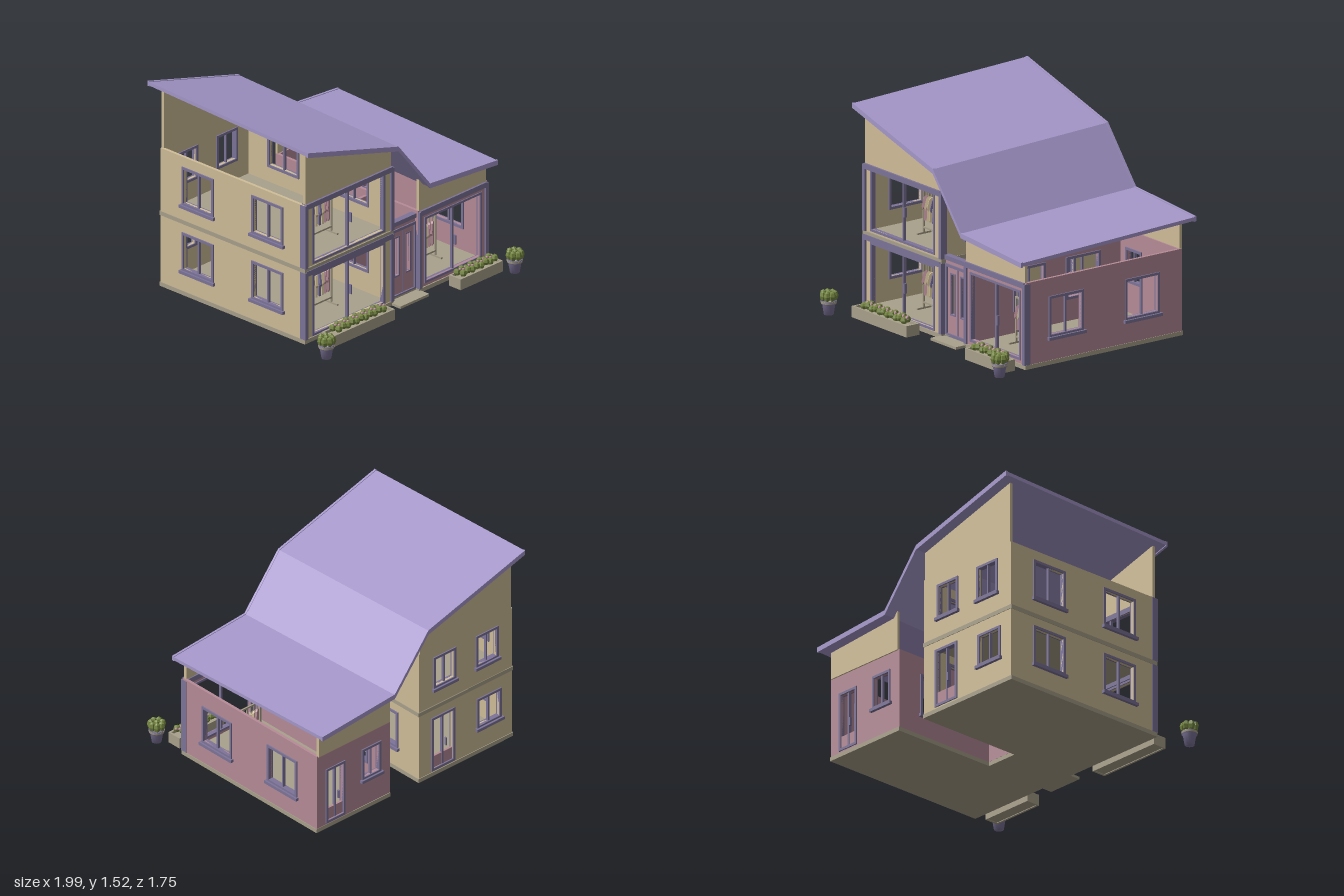
import * as THREE from 'three';

const colour = (name, hex) => {
  const m = new THREE.MeshStandardMaterial({ color: hex });
  m.name = name;
  return m;
};

export function createModel() {
  const house = new THREE.Group();
  house.name = 'house';
  const roofMat = colour('lilac roof', 0xa698cb);
  const trim = colour('purple trim', 0x7d7499);
  const tan = colour('tan wall', 0xd0be98);
  const pink = colour('rose wall', 0xb68b97);
  const stone = colour('stone', 0xa9a18b);
  const green = colour('leaf green', 0x748540);
  green.flatShading = true;

  const mesh = (parent, name, geo, mat, x = 0, y = 0, z = 0) => {
    const m = new THREE.Mesh(geo, mat);
    m.name = name;
    m.position.set(x, y, z);
    parent.add(m);
    return m;
  };
  // box given by its limits
  const box = (parent, name, mat, x0, x1, y0, y1, z0, z1) =>
    mesh(parent, name, new THREE.BoxGeometry(x1 - x0, y1 - y0, z1 - z0), mat,
      (x0 + x1) / 2, (y0 + y1) / 2, (z0 + z1) / 2);
  const rect = (x0, x1, y0, y1) =>
    [[x0, y0], [x1, y0], [x1, y1], [x0, y1]].map(p => new THREE.Vector2(...p));
  // flat plate with holes, centred on its local z
  const plate = (parent, name, mat, points, holes, depth) => {
    const s = new THREE.Shape(points);
    for (const h of holes) s.holes.push(new THREE.Path(rect(...h)));
    const g = new THREE.ExtrudeGeometry(s, { depth, bevelEnabled: false });
    g.translate(0, 0, -depth / 2);
    return mesh(parent, name, g, mat);
  };
  const frame = (parent, name, mat, [x0, x1, y0, y1], w, d) =>
    plate(parent, name, mat, rect(x0 - w, x1 + w, y0 - w, y1 + w), [[x0, x1, y0, y1]], d);
  // plane to build a wall in: side planes run along -z
  const plane = (name, at, side) => {
    const g = new THREE.Group();
    g.name = name;
    if (side) { g.rotation.y = Math.PI / 2; g.position.x = at; } else g.position.z = at;
    house.add(g);
    return g;
  };
  const addWindow = (wall, h, out) => {
    const [x0, x1, y0, y1] = h, c = (x0 + x1) / 2;
    frame(wall, 'windowFrame', trim, h, 0.018, 0.04);
    box(wall, 'windowBar', trim, c - 0.006, c + 0.006, y0, y1, -0.01, 0.01);
    box(wall, 'windowSill', trim, x0 - 0.03, x1 + 0.03, y0 - 0.036, y0 - 0.014,
      Math.min(0, out * 0.034), Math.max(0, out * 0.034));
  };
  const addDoor = (wall, h, out) => {
    const [x0, x1, y0, y1] = h, c = (x0 + x1) / 2;
    frame(wall, 'doorFrame', trim, h, 0.018, 0.04);
    box(wall, 'doorPanel', pink, x0, x1, y0, y0 + 0.09, -0.008, 0.008);
    box(wall, 'doorBar', trim, c - 0.007, c + 0.007, y0, y1, -0.01, 0.01);
    box(wall, 'doorHandle', trim, c - 0.03, c - 0.02, 0.2, 0.26, out * 0.015 - 0.008, out * 0.015 + 0.008);
  };
  const wall = (name, mat, at, side, out, outline, windows, doors = []) => {
    const g = plane(name, at, side);
    plate(g, name + 'Panel', mat, rect(...outline), [...windows, ...doors], 0.022);
    windows.forEach(h => addWindow(g, h, out));
    doors.forEach(h => addDoor(g, h, out));
    return g;
  };

  // roof: folded profile, rising gently toward the back
  const under = [[-0.92, 1.432], [-0.03, 1.178], [0.28, 0.797], [0.945, 0.745]];
  const rise = z => 0.055 * (0.62 - z) / 1.49;
  const roofSlab = (name, mat, z0, z1, lo, hi) => {
    const pts = [...under.map(([x, y]) => new THREE.Vector2(x, y + lo)),
      ...under.map(([x, y]) => new THREE.Vector2(x, y + hi)).reverse()];
    const g = new THREE.ExtrudeGeometry(new THREE.Shape(pts), { depth: z1 - z0, bevelEnabled: false });
    g.translate(0, 0, z0);
    const p = g.attributes.position;
    for (let i = 0; i < p.count; i++) p.setY(i, p.getY(i) + rise(p.getZ(i)));
    g.computeVertexNormals();
    mesh(house, name, g, mat);
  };
  roofSlab('roof', roofMat, -0.86, 0.605, 0, 0.026);
  roofSlab('frontRoofTrim', roofMat, 0.605, 0.622, -0.006, 0.03);
  roofSlab('backRoofTrim', roofMat, -0.877, -0.86, -0.006, 0.03);

  // gables under the roof, front and back
  for (const [z, side] of [[0.54, 'front'], [-0.78, 'back']]) {
    const up = rise(z) + 0.004;
    const gable = (name, pts) => plate(plane(side + name, z), side + name + 'Panel', tan,
      pts.map(([x, y, top]) => new THREE.Vector2(x, y + (top ? up : 0))), [], 0.022);
    gable('MainGable', [[-0.87, 1.03], [-0.03, 1.03], [-0.03, 1.178, 1], [-0.87, 1.418, 1]]);
    gable('WingGable', [[0.245, 0.605], [0.9, 0.605], [0.9, 0.749, 1], [0.28, 0.797, 1], [0.245, 0.84, 1]]);
  }

  // floors and step
  box(house, 'mainBase', stone, -0.885, -0.015, 0, 0.03, -0.795, 0.56);
  box(house, 'upperFloor', stone, -0.885, -0.015, 0.53, 0.56, -0.795, 0.56);
  box(house, 'wingBase', stone, 0.235, 0.915, 0, 0.03, -0.785, 0.56);
  box(house, 'entryBase', stone, -0.015, 0.235, 0, 0.03, 0.05, 0.53);
  box(house, 'entryStep', stone, -0.03, 0.25, 0, 0.018, 0.5, 0.64);

  // side walls; holes are given along -z
  const sideHoles = (y0, y1) => [[-0.34, -0.08, y0, y1], [0.31, 0.57, y0, y1]];
  for (const [x, out, name] of [[-0.87, -1, 'mainLeft'], [-0.03, 1, 'mainRight']]) {
    wall(name + 'LowerWall', tan, x, true, out, [-0.55, 0.79, 0.03, 0.53], sideHoles(0.2, 0.45));
    wall(name + 'UpperWall', tan, x, true, out, [-0.55, 0.79, 0.56, 1.03], sideHoles(0.69, 0.94));
  }
  wall('wingOuterWall', pink, 0.9, true, 1, [-0.55, 0.78, 0.03, 0.61], sideHoles(0.21, 0.465));
  wall('wingInnerWall', pink, 0.247, true, -1, [-0.55, 0.78, 0.03, 0.61],
    [[-0.14, 0.1, 0.2, 0.465], [0.31, 0.57, 0.2, 0.465]]);

  // back walls
  wall('mainBackLowerWall', tan, -0.78, false, -1, [-0.88, -0.02, 0.03, 0.53],
    [[-0.76, -0.57, 0.22, 0.42]], [[-0.33, -0.15, 0.06, 0.45]]);
  wall('mainBackUpperWall', tan, -0.78, false, -1, [-0.88, -0.02, 0.56, 1.03],
    [[-0.73, -0.56, 0.715, 0.93], [-0.34, -0.17, 0.715, 0.93]]);
  wall('wingBackWall', pink, -0.77, false, -1, [0.24, 0.91, 0.03, 0.61],
    [[0.34, 0.48, 0.26, 0.47]], [[0.67, 0.81, 0.06, 0.455]]);
  wall('entryBackWall', pink, 0.06, false, -1, [-0.02, 0.24, 0.03, 0.57], [[0.03, 0.2, 0.22, 0.47]]);

  // shop fronts: wall with a wide opening, inner frame, corner posts and beams
  const shopFront = (name, mat, x0, x1, y0, y1, h) => {
    const g = plane(name, 0.54), c = (h[0] + h[1]) / 2;
    plate(g, name + 'Panel', mat, rect(x0, x1, y0, y1), [h], 0.022);
    frame(g, 'shopFrame', trim, h, 0.016, 0.036);
    box(g, 'centreBar', trim, c - 0.007, c + 0.007, h[2], h[3], -0.01, 0.01);
    box(g, 'shopHandle', trim, c + 0.02, c + 0.03, h[2] + 0.17, h[2] + 0.24, 0, 0.02);
    for (const x of [x0, x1]) box(g, 'cornerPost', trim, x - 0.014, x + 0.014, y0, y1, -0.025, 0.026);
    box(g, 'topBeam', trim, x0, x1, y1 - 0.03, y1 + 0.008, -0.02, 0.026);
  };
  shopFront('lowerShopFront', tan, -0.87, -0.025, 0.03, 0.53, [-0.79, -0.11, 0.05, 0.48]);
  shopFront('upperShopFront', tan, -0.87, -0.025, 0.56, 1.03, [-0.79, -0.11, 0.588, 1.0]);
  shopFront('wingShopFront', pink, 0.25, 0.9, 0.03, 0.6, [0.31, 0.84, 0.07, 0.53]);

  // entry with two door leaves
  const entry = plane('entryDoors', 0.51);
  frame(entry, 'entryFrame', trim, [0.005, 0.225, 0.04, 0.51], 0.02, 0.04);
  box(entry, 'entryFascia', pink, -0.015, 0.235, 0.53, 0.56, -0.011, 0.011);
  box(entry, 'entryBeam', trim, -0.015, 0.235, 0.558, 0.59, -0.02, 0.025);
  for (const x of [0.005, 0.117]) {
    const glass = [x + 0.035, x + 0.073, 0.18, 0.46];
    plate(entry, 'doorLeaf', pink, rect(x, x + 0.108, 0.03, 0.51), [glass], 0.016);
    frame(entry, 'doorGlassFrame', trim, glass, 0.01, 0.022);
  }
  box(entry, 'entryDoorBar', trim, 0.111, 0.119, 0.04, 0.51, -0.012, 0.012);

  // clothes racks
  const garment = [[-0.016, 0], [0.016, 0], [0.014, 0.08], [0.026, 0.06], [0.034, 0.075], [0.018, 0.13],
    [0.006, 0.14], [-0.006, 0.14], [-0.018, 0.13], [-0.034, 0.075], [-0.026, 0.06], [-0.014, 0.08]]
    .map(p => new THREE.Vector2(...p));
  for (const [x, y] of [[-0.45, 0.03], [-0.45, 0.56], [0.57, 0.03]]) {
    const rack = new THREE.Group();
    rack.name = 'clothesRack';
    rack.position.set(x, y, 0.28);
    house.add(rack);
    for (const s of [-0.12, 0.12]) {
      box(rack, 'rackPost', stone, s - 0.006, s + 0.006, 0, 0.33, -0.006, 0.006);
      box(rack, 'rackFoot', stone, s - 0.006, s + 0.006, 0, 0.012, -0.06, 0.06);
    }
    for (const h of [0.04, 0.318]) box(rack, 'rackRail', stone, -0.12, 0.12, h, h + 0.012, -0.006, 0.006);
    for (let i = 0; i < 7; i++) {
      const g = plate(rack, 'garment', [pink, tan, tan, trim, tan, pink, pink][i], garment, [], 0.014);
      g.position.set(-0.09 + i * 0.03, 0.1, 0);
      g.scale.y = 1.25;
      g.rotation.y = [0.5, 0.6, 1, 1.2, 1, 0.6, 0.5][i];
      box(rack, 'hanger', stone, g.position.x - 0.003, g.position.x + 0.003, 0.27, 0.32, -0.003, 0.003);
    }
  }

  // planters with shrubs and flowers
  const leaf = new THREE.SphereGeometry(0.026, 6, 4);
  const flower = new THREE.SphereGeometry(0.011, 6, 4);
  for (const [x0, x1, n] of [[-0.785, -0.18, 11], [0.465, 0.88, 8]]) {
    const planter = new THREE.Group();
    planter.name = 'planter';
    house.add(planter);
    const c = (x0 + x1) / 2, half = (n - 1) * 0.022;
    const rim = plate(planter, 'planterRim', stone, rect(x0, x1, 0.62, 0.73),
      [[x0 + 0.015, x1 - 0.015, 0.635, 0.715]], 0.08);
    rim.rotation.x = Math.PI / 2;
    rim.position.y = 0.04;
    box(planter, 'planterSoil', stone, x0 + 0.01, x1 - 0.01, 0.005, 0.06, 0.63, 0.72);
    for (let i = 0; i < n; i++) for (const r of [0, 1]) {
      const x = c - half + i * 0.044 + (r ? 0.008 : -0.008), z = r ? 0.695 : 0.653;
      mesh(planter, 'shrub', leaf, green, x, 0.096 + (i % 2) * 0.01, z).rotation.y = i * 0.7 + r;
      mesh(planter, 'flower', flower, pink, x + 0.016, 0.115, z + (r ? -0.012 : 0.012));
    }
  }

  // potted bushes
  const potProfile = [[0, 0], [0.034, 0], [0.046, 0.075], [0.053, 0.075], [0.055, 0.098], [0.046, 0.098], [0, 0.09]]
    .map(p => new THREE.Vector2(...p));
  for (const [x, z] of [[-0.936, 0.81], [0.93, 0.793]]) {
    const pot = new THREE.Group();
    pot.name = 'pottedBush';
    pot.position.set(x, 0, z);
    house.add(pot);
    mesh(pot, 'pot', new THREE.LatheGeometry(potProfile, 16), trim);
    mesh(pot, 'potCollar', new THREE.CylinderGeometry(0.0565, 0.0545, 0.014, 16), stone, 0, 0.088, 0);
    for (let i = 0; i < 8; i++) {
      const a = i * Math.PI * 2 / 7, r = i < 7 ? 0.041 : 0;
      const b = mesh(pot, 'bushLobe', leaf, green, Math.cos(a) * r, 0.134, Math.sin(a) * r);
      b.scale.set(1, 1.45, 1);
      b.rotation.y = -a;
    }
  }
  return house;
}
